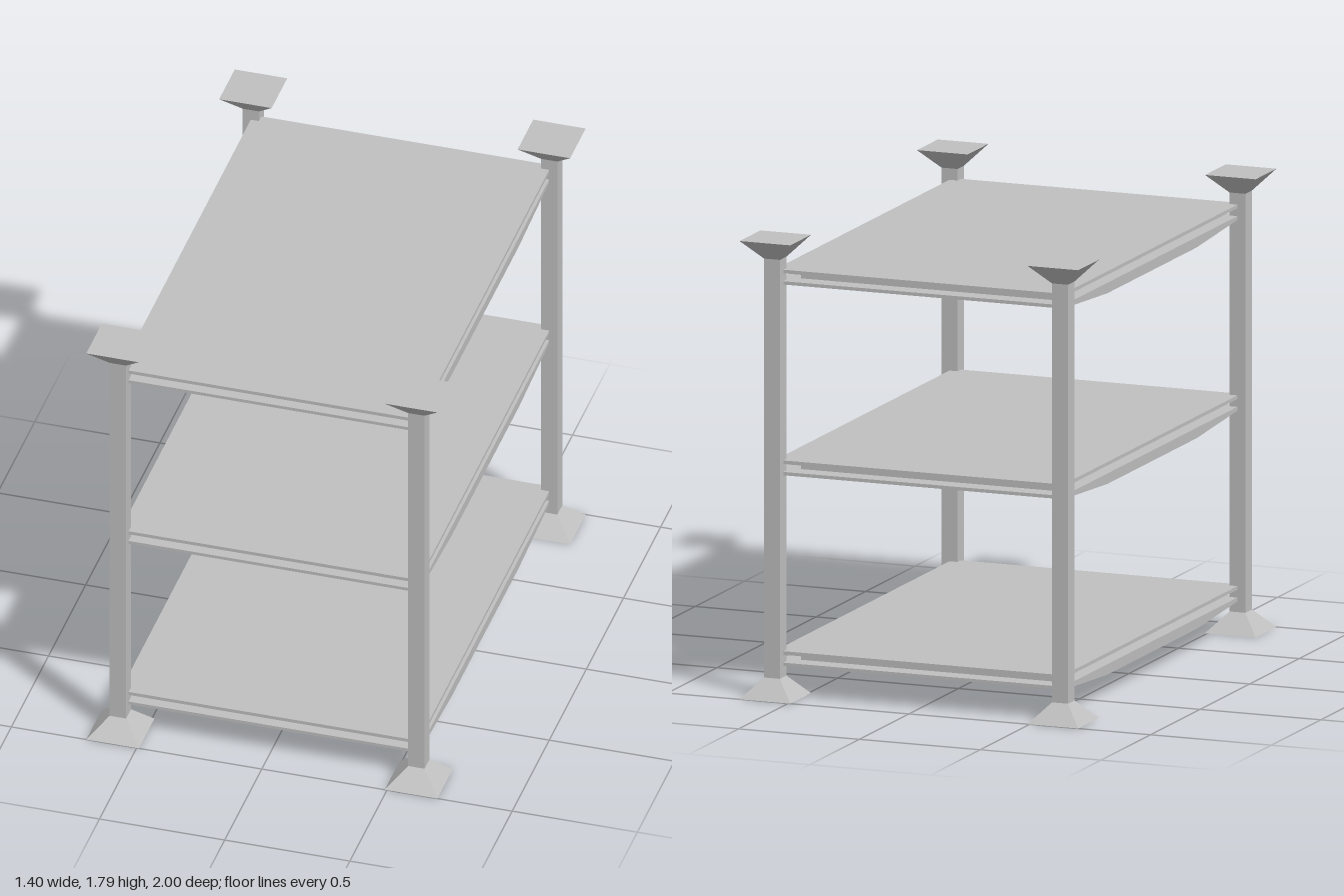
import * as THREE from 'three';

const POST_X = 0.596, POST_Z = 0.895, HEIGHT = 1.795;
const FLARE_H = 0.077, POST_W = 0.066, FLARE_W = 0.21;

export function createModel() {
  const model = new THREE.Group();
  model.name = 'shelvingRack';
  const metal = new THREE.MeshStandardMaterial({ color: 0xc0c0c0, flatShading: true });
  metal.name = 'grey metal';

  const add = (parent, name, geometry, x, y, z) => {
    const mesh = new THREE.Mesh(geometry, metal);
    mesh.name = name;
    mesh.position.set(x, y, z);
    parent.add(mesh);
  };

  // Four-sided flare, given by its top and bottom widths
  const flare = (top, bottom) =>
    new THREE.CylinderGeometry(top * Math.SQRT1_2, bottom * Math.SQRT1_2, FLARE_H, 4).rotateY(Math.PI / 4);
  const footGeo = flare(POST_W, FLARE_W);
  const capGeo = flare(FLARE_W, POST_W);
  const postGeo = new THREE.BoxGeometry(POST_W, HEIGHT - 2 * FLARE_H, POST_W);

  // Corner posts with flared feet and caps
  for (const sx of [-1, 1]) {
    for (const sz of [-1, 1]) {
      const post = new THREE.Group();
      post.name = 'cornerPost';
      post.position.set(sx * POST_X, 0, sz * POST_Z);
      add(post, 'foot', footGeo, 0, FLARE_H / 2, 0);
      add(post, 'post', postGeo, 0, HEIGHT / 2, 0);
      add(post, 'cap', capGeo, 0, HEIGHT - FLARE_H / 2, 0);
      model.add(post);
    }
  }

  // Shelf underside tray: profile along z, deeper in the middle
  const profile = new THREE.Shape([
    [-POST_Z, -0.045], [-POST_Z, -0.058], [-0.45, -0.086],
    [0.45, -0.086], [POST_Z, -0.058], [POST_Z, -0.045],
  ].map(([z, y]) => new THREE.Vector2(z, y)));
  const trayGeo = new THREE.ExtrudeGeometry(profile, { depth: 2 * POST_X, bevelEnabled: false });
  trayGeo.translate(0, 0, -POST_X).rotateY(-Math.PI / 2);
  const topGeo = new THREE.BoxGeometry(2 * POST_X, 0.014, 2 * POST_Z);
  const coreGeo = new THREE.BoxGeometry(1.04, 0.033, 1.64);

  // Three shelves: top sheet, recessed core, bowed tray
  for (const y of [0.179, 0.926, 1.673]) {
    const shelf = new THREE.Group();
    shelf.name = 'shelf';
    shelf.position.y = y;
    add(shelf, 'topSheet', topGeo, 0, -0.007, 0);
    add(shelf, 'recessedCore', coreGeo, 0, -0.0295, 0);
    add(shelf, 'bowedTray', trayGeo, 0, 0, 0);
    model.add(shelf);
  }
  return model;
}
